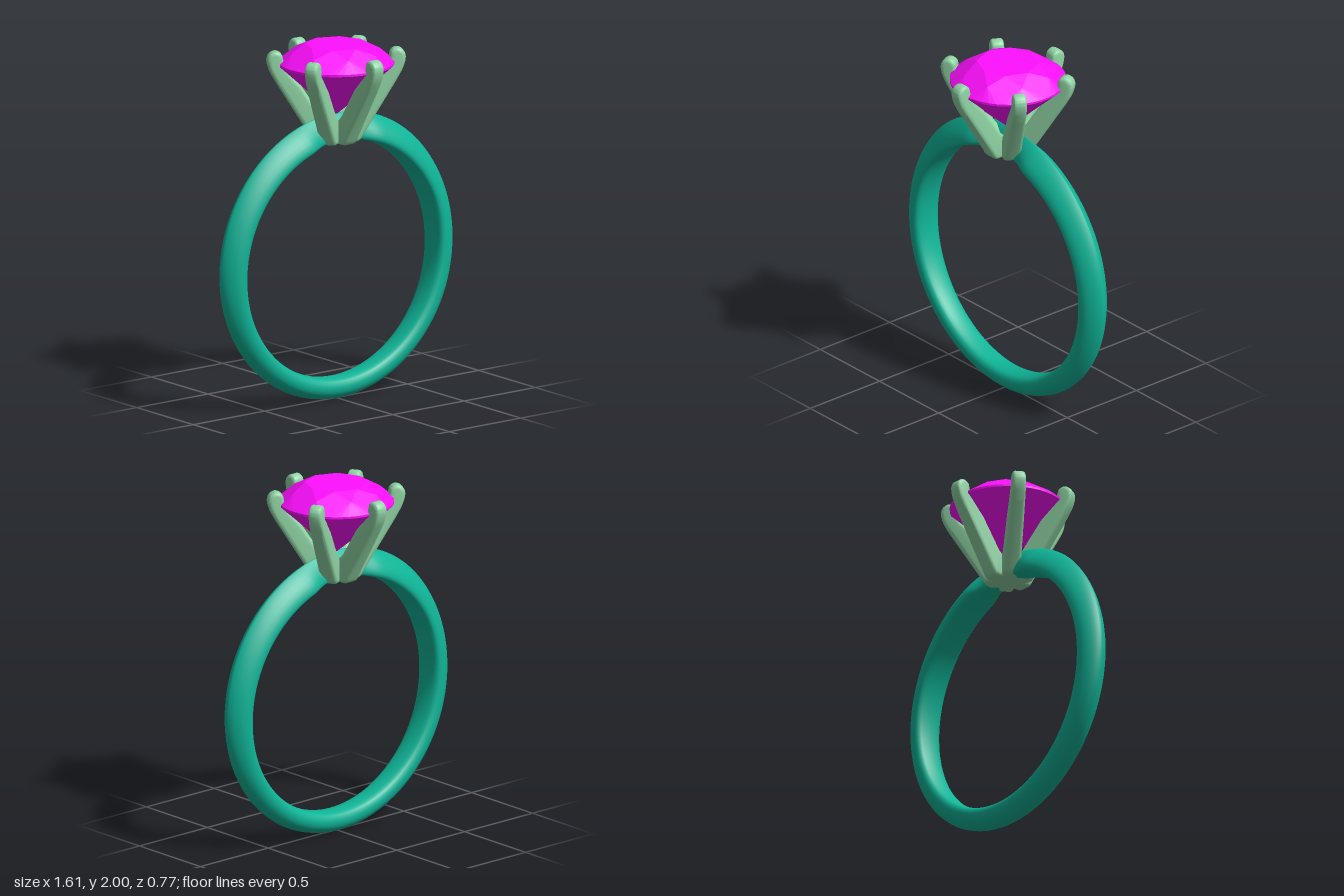
import * as THREE from 'three';
import { toCreasedNormals } from 'three/addons/utils/BufferGeometryUtils.js';
import { ConvexGeometry } from 'three/addons/geometries/ConvexGeometry.js';

const vecs = (list) => list.map(([x, y]) => new THREE.Vector2(x, y));
const TAU = Math.PI * 2;

// Half cross-sections of the band: [inner 0 to outer 1, half-width factor]
const KNIFE = new THREE.SplineCurve(vecs([[0, 0], [0.01, 0.5], [0.05, 0.9], [0.2, 1], [0.48, 0.84], [0.75, 0.5], [0.92, 0.19], [1, 0]])).getPoints(14);
const ROUND = new THREE.SplineCurve(vecs([[0, 0], [0.03, 0.5], [0.14, 0.85], [0.38, 1], [0.65, 0.92], [0.85, 0.65], [0.96, 0.35], [1, 0]])).getPoints(14);

// Band: rounded at the bottom, growing into a wider knife edge at the top
function bandGeometry() {
  const segs = 128, half = KNIFE.length, ring = 2 * half - 2;
  const pos = [], idx = [];
  for (let i = 0; i < segs; i++) {
    const a = (i / segs) * TAU, c = Math.cos(a), s = Math.sin(a);
    const t = (1 + c) / 2;
    const inner = 0.667, outer = 0.805 + 0.015 * c;
    let width = 0.085 + 0.011 * c;
    // shoulders narrow where the band runs under the head
    if (c > 0) width *= 0.65 + 0.35 * THREE.MathUtils.smoothstep(Math.abs(s) * 0.7, 0.12, 0.25);
    for (let j = 0; j < ring; j++) {
      const k = j < half ? j : ring - j;
      const p = ROUND[k].clone().lerp(KNIFE[k], t);
      const r = inner + (outer - inner) * p.x;
      pos.push(s * r, 0.79 + c * r, (j < half ? 1 : -1) * width * p.y);
      const n = ((i + 1) % segs) * ring, m = (j + 1) % ring, b = i * ring;
      idx.push(b + j, n + j, b + m, n + j, n + m, b + m);
    }
  }
  const g = new THREE.BufferGeometry();
  g.setAttribute('position', new THREE.Float32BufferAttribute(pos, 3));
  g.setIndex(idx);
  g.computeVertexNormals();
  return g;
}

// Prong: side profile extruded with a soft edge, thinner towards the tip
function prongGeometry() {
  const shape = new THREE.Shape();
  shape.moveTo(0, 1.45);
  shape.lineTo(0.105, 1.45);
  shape.quadraticCurveTo(0.13, 1.45, 0.145, 1.485);
  shape.lineTo(0.33, 1.785);
  shape.splineThru(vecs([[0.368, 1.855], [0.384, 1.915], [0.372, 1.953], [0.338, 1.97], [0.304, 1.953], [0.291, 1.905], [0.262, 1.85], [0.2, 1.78]]));
  shape.lineTo(0.09, 1.61);
  shape.lineTo(0, 1.53);
  const bevel = 0.022, depth = 0.1 - 2 * bevel;
  let g = new THREE.ExtrudeGeometry(shape, {
    depth, curveSegments: 5, bevelEnabled: true, bevelThickness: bevel,
    bevelSize: bevel, bevelOffset: -bevel, bevelSegments: 4,
  });
  g.translate(0, 0, -depth / 2);
  const p = g.attributes.position;
  for (let i = 0; i < p.count; i++) p.setZ(i, p.getZ(i) * (1 - 0.5 * (p.getY(i) - 1.45)));
  return toCreasedNormals(g, 0.7);
}

// Round brilliant: octagonal table, crown, girdle and pavilion facets
function gemGeometry() {
  const pts = [];
  const circle = (n, r, y, turn = 0) => {
    for (let i = 0; i < n; i++) {
      const a = ((i + turn) / n) * TAU;
      pts.push(new THREE.Vector3(Math.cos(a) * r, y, Math.sin(a) * r));
    }
  };
  circle(8, 0.172, 2);
  circle(8, 0.25, 1.96, 0.5);
  circle(48, 0.32, 1.9);
  circle(48, 0.32, 1.888);
  circle(8, 0.08, 1.667, 0.5);
  pts.push(new THREE.Vector3(0, 1.6, 0));
  return new ConvexGeometry(pts);
}

export function createModel() {
  const model = new THREE.Group();
  const add = (name, geometry, material, parent = model) => {
    const mesh = new THREE.Mesh(geometry, material);
    mesh.name = name;
    parent.add(mesh);
    return mesh;
  };
  const teal = new THREE.MeshStandardMaterial({ color: 0x0fb598 });
  const green = new THREE.MeshStandardMaterial({ color: 0x8fd4a4 });
  const magenta = new THREE.MeshStandardMaterial({ color: 0xff0fff });

  add('band', bandGeometry(), teal);
  add('gem', gemGeometry(), magenta);

  // Six prongs meeting at the base of the head
  const head = new THREE.Group();
  head.name = 'head';
  model.add(head);
  const prong = prongGeometry();
  for (let i = 0; i < 6; i++) {
    add('prong', prong, green, head).rotation.y = Math.PI / 2 + (i / 6) * TAU;
  }
  return model;
}
